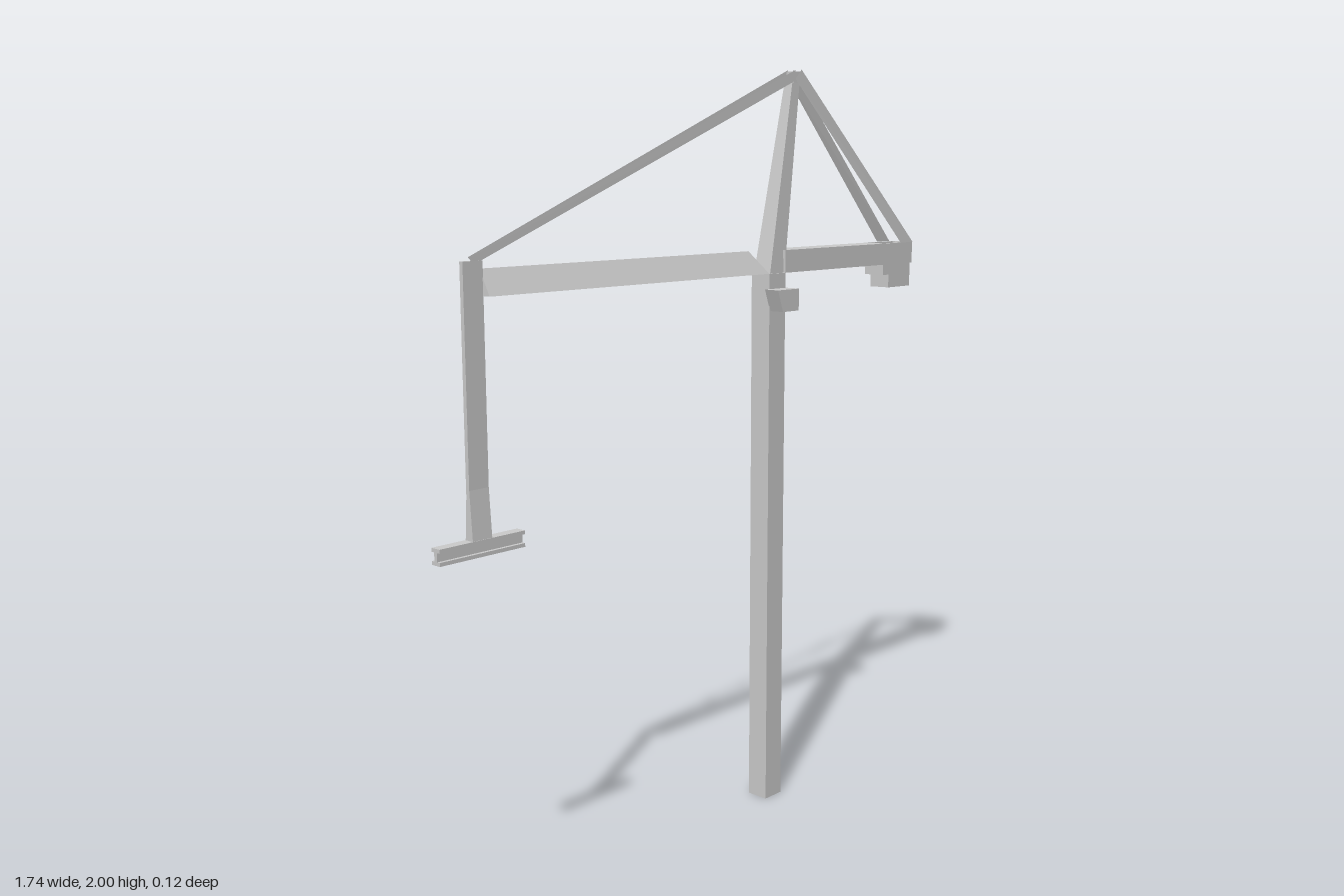
import * as THREE from 'three';

const mat = new THREE.MeshStandardMaterial({ color: 0xcccccc, flatShading: true, side: THREE.DoubleSide });

function add(group, name, geometry) {
  const mesh = new THREE.Mesh(geometry, mat);
  mesh.name = name;
  group.add(mesh);
  return mesh;
}

// Box given by its limits on each axis
function block(x0, x1, y0, y1, z0, z1) {
  return new THREE.BoxGeometry(x1 - x0, y1 - y0, z1 - z0)
    .translate((x0 + x1) / 2, (y0 + y1) / 2, (z0 + z1) / 2);
}

// Closed solid between two matching loops of points
function loft(a, b) {
  const n = a.length, pos = [];
  const tri = (p, q, r) => pos.push(...p, ...q, ...r);
  for (let i = 0; i < n; i++) {
    const j = (i + 1) % n;
    tri(a[i], a[j], b[j]);
    tri(a[i], b[j], b[i]);
  }
  for (let i = 1; i < n - 1; i++) {
    tri(a[0], a[i + 1], a[i]);
    tri(b[0], b[i], b[i + 1]);
  }
  const g = new THREE.BufferGeometry();
  g.setAttribute('position', new THREE.Float32BufferAttribute(pos, 3));
  g.computeVertexNormals();
  return g;
}

// Flat four-cornered sheet
function sheet(a, b, c, d) {
  const g = new THREE.BufferGeometry();
  g.setAttribute('position', new THREE.Float32BufferAttribute([...a, ...b, ...c, ...a, ...c, ...d], 3));
  g.computeVertexNormals();
  return g;
}

export function createModel() {
  const crane = new THREE.Group();
  crane.name = 'towerCrane';
  const zc = -0.012;

  // Square mast
  add(crane, 'mast', block(0.223, 0.288, 0, 1.47, -0.042, 0.02));

  // Operator cab with a raked front
  const cabSide = (z) => [[0.207, 1.43, z], [0.228, 1.372, z], [0.293, 1.372, z], [0.293, 1.43, z]];
  add(crane, 'cab', loft(cabSide(0.018), cabSide(0.063)));

  // Triangular jib with a sloping inner end
  const jibSection = (xBase, xRidge) => [[xBase, 1.47, 0.015], [xBase, 1.47, -0.047], [xRidge, 1.53, -0.017]];
  add(crane, 'jib', loft(jibSection(-0.722, -0.722), jibSection(0.228, 0.18)));

  // Leaning, tapered tower head
  add(crane, 'towerHead', loft(
    [[0.228, 1.46, 0.016], [0.288, 1.46, 0.016], [0.288, 1.46, -0.04], [0.228, 1.46, -0.04]],
    [[0.332, 1.965, 0.001], [0.362, 1.965, 0.001], [0.362, 1.965, -0.026], [0.332, 1.965, -0.026]]));

  // Counter jib ending in an open frame
  const counter = new THREE.Group();
  counter.name = 'counterJib';
  crane.add(counter);
  add(counter, 'counterDeck', block(0.285, 0.735, 1.47, 1.53, -0.05, 0.022));
  add(counter, 'frameFront', block(0.735, 0.865, 1.47, 1.53, 0.014, 0.022));
  add(counter, 'frameBack', block(0.735, 0.865, 1.47, 1.53, -0.05, -0.042));
  add(counter, 'frameEnd', block(0.857, 0.865, 1.47, 1.53, -0.042, 0.014));

  // Counterweight and its step
  add(counter, 'counterweight', block(0.757, 0.861, 1.403, 1.485, -0.046, 0.018));
  add(counter, 'counterweightStep', block(0.73, 0.757, 1.44, 1.475, -0.046, 0.018));

  // Paired tie bars, closing in on the jib tip and spreading on the counter jib
  for (const s of [1, -1]) {
    const zTop = zc + s * 0.013, zTip = zc + s * 0.004;
    const zEnd = s > 0 ? 0.024 : -0.06;
    add(crane, 'jibTie', sheet(
      [-0.755, 1.556, zTip], [-0.74, 1.542, zTip], [0.345, 1.97, zTop], [0.345, 1.998, zTop]));
    add(crane, 'counterTie', sheet(
      [0.345, 1.975, zTop], [0.805, 1.53, zEnd], [0.865, 1.53, zEnd], [0.37, 2.0, zTop]));
  }
  add(crane, 'headCap', block(0.338, 0.37, 1.96, 1.994, zc - 0.013, zc + 0.013));

  // Hoist line, its splayed foot and the I-section lifting beam
  const hoist = new THREE.Group();
  hoist.name = 'hoist';
  crane.add(hoist);
  add(hoist, 'hoistLine', block(-0.777, -0.721, 1.03, 1.548, zc - 0.006, zc + 0.005));
  const foot = (y, h) => [[-0.777, y, zc + h], [-0.721, y, zc + h], [-0.721, y, zc - h], [-0.777, y, zc - h]];
  add(hoist, 'hoistFoot', loft(foot(0.92, 0.013), foot(1.04, 0.005)));
  add(hoist, 'beamWeb', block(-0.872, -0.625, 0.89, 0.92, zc - 0.005, zc + 0.005));
  for (const y of [0.885, 0.915]) {
    add(hoist, 'beamFlange', block(-0.872, -0.625, y, y + 0.009, zc - 0.014, zc + 0.014));
  }
  return crane;
}
